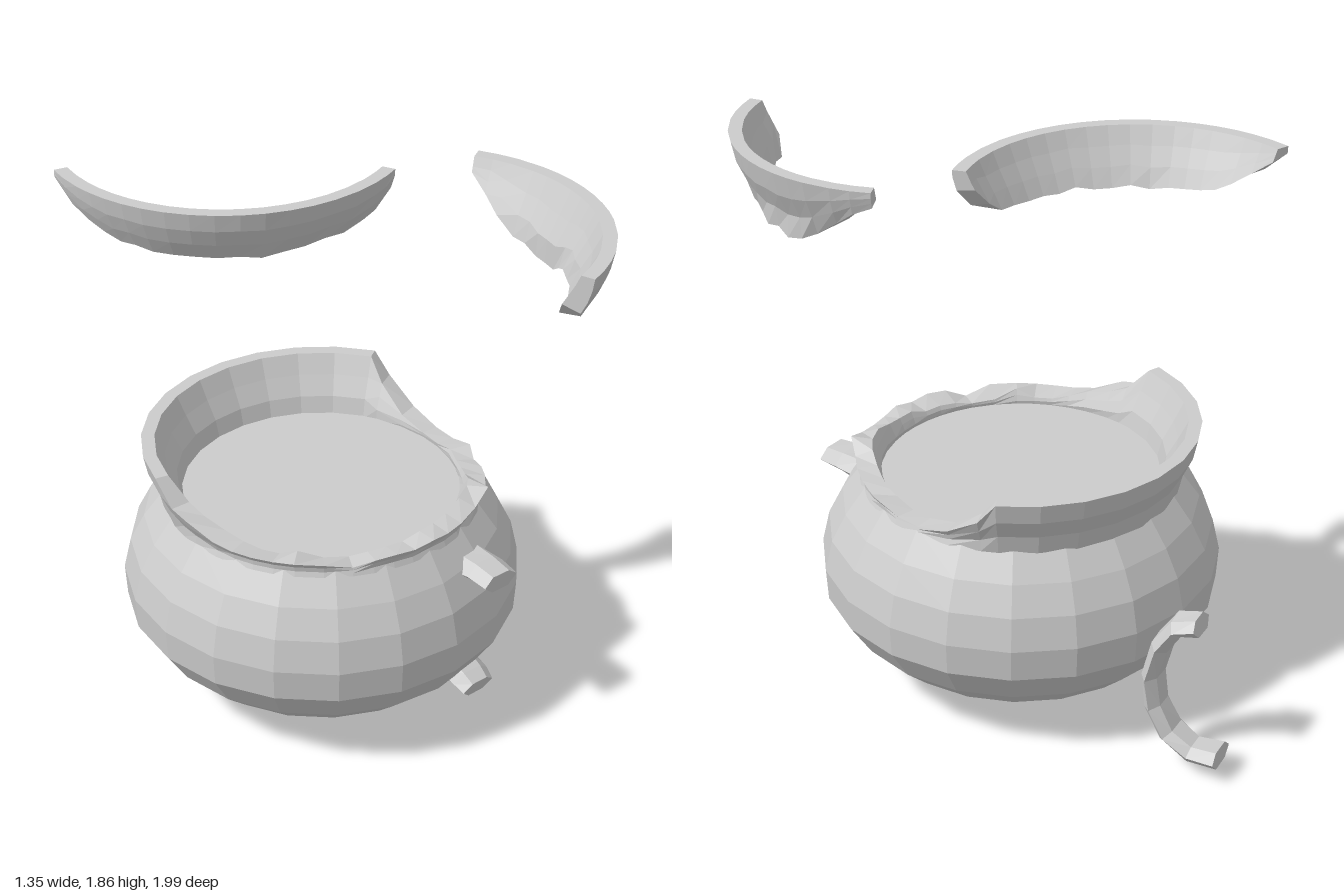
import * as THREE from 'three';

const material = new THREE.MeshStandardMaterial({ color: 0xcccccc, flatShading: true });
const noise = (n) => { const s = Math.sin(n * 127.1 + 3.7) * 43758.5453; return (s - Math.floor(s)) * 2 - 1; };

// Linear interpolation in a table of [key, value] pairs
function lookup(table, k) {
  if (k <= table[0][0]) return table[0][1];
  for (let i = 1; i < table.length; i++) {
    const [k0, v0] = table[i - 1], [k1, v1] = table[i];
    if (k <= k1) return v0 + (v1 - v0) * (k - k0) / (k1 - k0);
  }
  return table[table.length - 1][1];
}

// Skin a row of rings, each running counter-clockwise about the direction of travel
function loft(rings, caps = true) {
  const pos = [], n = rings[0].length;
  const tri = (a, b, c) => pos.push(...a.toArray(), ...b.toArray(), ...c.toArray());
  for (let j = 0; j < rings.length - 1; j++) {
    for (let i = 0; i < n; i++) {
      const k = (i + 1) % n, A = rings[j], B = rings[j + 1];
      tri(A[i], A[k], B[i]);
      tri(A[k], B[k], B[i]);
    }
  }
  if (caps) {
    [rings[0], rings[rings.length - 1]].forEach((ring, end) => {
      const mid = ring.reduce((s, p) => s.add(p), new THREE.Vector3()).divideScalar(n);
      ring.forEach((p, i) => {
        const q = ring[(i + 1) % n];
        if (end) tri(mid, p, q); else tri(mid, q, p);
      });
    });
  }
  const geo = new THREE.BufferGeometry();
  geo.setAttribute('position', new THREE.Float32BufferAttribute(pos, 3));
  geo.computeVertexNormals();
  return geo;
}

// Flared rim section: radius against height above the neck
const OUTER = [[-0.06, 0.555], [0, 0.53], [0.03, 0.55], [0.1, 0.585], [0.16, 0.603], [0.18, 0.603]];
const INNER = [[-0.06, 0.475], [0, 0.465], [0.06, 0.495], [0.14, 0.54], [0.18, 0.558]];

// Columns at every key angle, with long gaps subdivided
function columns(table, step) {
  const out = [table[0][0]];
  for (let i = 1; i < table.length; i++) {
    const a = table[i - 1][0], b = table[i][0], n = Math.ceil((b - a) / step);
    for (let s = 1; s <= n; s++) out.push(a + (b - a) * s / n);
  }
  return out;
}

// Rim piece; low and high give the outer and inner edge heights at each angle
function rimPiece(angles, low, high, caps) {
  const T = [0, 0.33, 0.66, 1];
  return loft(angles.map((deg) => {
    const a = deg * Math.PI / 180;
    const at = (table, side, t) => {
      const lo = low(deg, side), h = lo + (high(deg, side) - lo) * t;
      const r = lookup(table, h);
      return new THREE.Vector3(r * Math.cos(a), h, r * Math.sin(a));
    };
    return [...T.map((t) => at(OUTER, 0, t)), ...T.map((t) => at(INNER, 1, 1 - t))];
  }), caps);
}

// Flattened six-sided bar along [x, y, z, halfWidth, halfThickness] stations
function bar(stations, across) {
  const pts = stations.map((s) => new THREE.Vector3(s[0], s[1], s[2]));
  return loft(stations.map(([, , , hw, ht], j) => {
    const t = pts[Math.min(j + 1, pts.length - 1)].clone().sub(pts[Math.max(j - 1, 0)]).normalize();
    const v = t.clone().cross(across).normalize();
    return [...Array(6).keys()].map((i) => {
      const a = i * Math.PI / 3, k = 1 + 0.08 * noise(i * 5 + j);
      return pts[j].clone().addScaledVector(across, hw * k * Math.cos(a)).addScaledVector(v, ht * k * Math.sin(a) * 1.15);
    });
  }));
}

export function createModel() {
  const model = new THREE.Group();
  const add = (name, geometry, x = 0, y = 0, z = 0) => {
    const mesh = new THREE.Mesh(geometry, material);
    mesh.name = name;
    mesh.position.set(x, y, z);
    model.add(mesh);
    return mesh;
  };
  const ZC = -0.02, NECK = 0.75, SHARD = 1.68, H = 0.18;

  // Round body with foot ring and recessed base
  const profile = [[0, 0.02], [0.26, 0.02], [0.275, 0], [0.31, 0], [0.33, 0.05], [0.36, 0.05], [0.5, 0.13],
    [0.595, 0.215], [0.67, 0.33], [0.677, 0.44], [0.652, 0.55], [0.603, 0.645], [0.53, 0.745]];
  const body = new THREE.LatheGeometry(profile.map(([r, y]) => new THREE.Vector2(r, y)), 20).toNonIndexed();
  body.computeVertexNormals();
  add('body', body, 0, 0, ZC);

  // Flat filling inside the neck
  add('filling', new THREE.CircleGeometry(0.485, 20).rotateX(-Math.PI / 2), 0, 0.735, ZC);

  // Rim still on the pot: whole at the back, broken low along the front
  const rimTop = [[-31, H], [-25, 0.11], [-13, 0.015], [0, 0], [20, 0.01], [35, 0.03], [50, 0.05], [57, 0.065],
    [75, 0.04], [90, 0.03], [105, 0.025], [120, 0.01], [140, 0.025], [155, 0.02], [170, 0.05], [180, 0.07],
    [187, 0.1], [194, H], [329, H]];
  const rimHigh = (deg, side) => {
    const h = lookup(rimTop, deg);
    return h >= H - 0.001 ? H : Math.max(0, h + 0.014 * noise(Math.round(deg) + side * 40));
  };
  add('brokenRim', rimPiece(columns(rimTop, 14), () => -0.025, rimHigh, false), 0, NECK, ZC);

  // Two rim shards floating above, with ragged lower edges
  const shards = [
    ['leftRimShard', 0.42, [[-28, 0.13], [-15, 0.04], [-6, -0.025], [6, -0.04], [18, -0.05], [24, -0.02],
      [35, -0.01], [55, 0], [68, 0.02], [74, 0.06]]],
    ['rightRimShard', -0.49, [[67, 0.12], [72, 0.06], [78, 0.03], [95, 0.02], [110, 0], [125, 0.005], [140, 0],
      [155, -0.005], [168, 0.01], [180, 0.04], [187, 0.09], [194, 0.15]]],
  ];
  for (const [name, z, edge] of shards) {
    const low = (deg, side) => lookup(edge, deg) + 0.012 * noise(Math.round(deg) + side * 31);
    add(name, rimPiece(columns(edge, 10), low, () => H, true), 0, SHARD, z);
  }

  // Handle stubs on the front of the body
  const X = new THREE.Vector3(1, 0, 0);
  add('upperHandleStub', bar([[0.17, 0.63, 0.5, 0.09, 0.045], [0.17, 0.635, 0.6, 0.08, 0.035],
    [0.165, 0.63, 0.68, 0.07, 0.03]], X));
  add('lowerHandleStub', bar([[0.15, 0.215, 0.5, 0.085, 0.045], [0.15, 0.19, 0.57, 0.078, 0.038],
    [0.145, 0.175, 0.615, 0.065, 0.03]], X));

  // Broken-off curved handle lying behind the pot, slightly turned
  const path = [[-0.89, 0.555], [-0.82, 0.535], [-0.765, 0.45], [-0.735, 0.33], [-0.75, 0.22], [-0.8, 0.125],
    [-0.88, 0.075], [-0.975, 0.08]];
  const across = new THREE.Vector3(0.98, 0, -0.2);
  add('looseHandle', bar(path.map(([z, y], i) =>
    [0.215 + (z + 0.73) * 0.2, y, z, 0.066 + 0.004 * (i % 2), 0.029]), across));

  return model;
}
